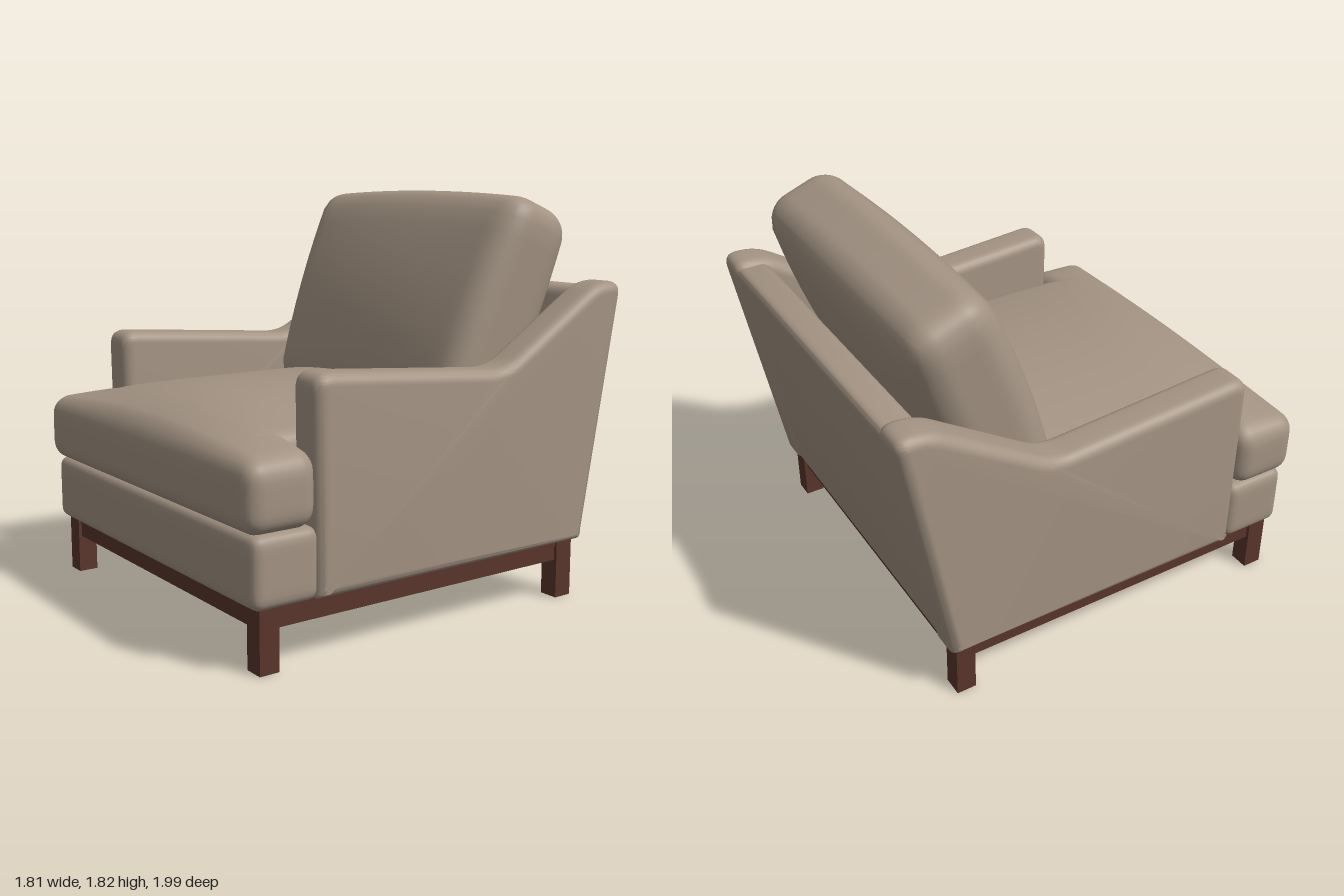
import * as THREE from 'three';
import { mergeVertices, toCreasedNormals } from 'three/addons/utils/BufferGeometryUtils.js';

const material = (name, color) => {
  const m = new THREE.MeshStandardMaterial({ color });
  m.name = name;
  return m;
};

// Round-edged box with finely divided faces, reshaped by an optional rule
function softBox(w, h, d, r, rule) {
  const g = new THREE.BoxGeometry(2, 2, 2, 32, 14, 28);
  g.deleteAttribute('uv');
  g.deleteAttribute('normal');
  const half = new THREE.Vector3(w / 2, h / 2, d / 2);
  const inner = half.clone().subScalar(r);
  const p = g.attributes.position;
  const v = new THREE.Vector3(), c = new THREE.Vector3();
  for (let i = 0; i < p.count; i++) {
    v.fromBufferAttribute(p, i);
    // crowd the divisions toward the edges
    v.set(Math.sin(v.x * Math.PI / 2), Math.sin(v.y * Math.PI / 2), Math.sin(v.z * Math.PI / 2)).multiply(half);
    c.copy(v).clamp(inner.clone().negate(), inner);
    v.sub(c).setLength(r).add(c);
    if (rule) rule(v);
    p.setXYZ(i, v.x, v.y, v.z);
  }
  const out = mergeVertices(g, 1e-5);
  out.computeVertexNormals();
  return out;
}

// Side outline from [z, y, corner cut] points
function outline(points) {
  const s = new THREE.Shape();
  const n = points.length;
  points.forEach(([z, y, cut], i) => {
    const at = new THREE.Vector2(z, y);
    const toward = ([a, b]) => new THREE.Vector2(a, b).sub(at).setLength(cut).add(at);
    const from = toward(points[(i + n - 1) % n]);
    const to = toward(points[(i + 1) % n]);
    if (i === 0) s.moveTo(from.x, from.y);
    else s.lineTo(from.x, from.y);
    s.quadraticCurveTo(at.x, at.y, to.x, to.y);
  });
  s.closePath();
  return s;
}

// Side outline extruded across x, centred, with rounded edges
function sidePanel(points, width, bevel) {
  const g = new THREE.ExtrudeGeometry(outline(points), {
    depth: width - 2 * bevel, curveSegments: 8, bevelEnabled: true,
    bevelThickness: bevel, bevelSize: bevel, bevelOffset: -bevel, bevelSegments: 8,
  });
  g.translate(0, 0, -(width / 2 - bevel));
  g.rotateY(-Math.PI / 2);
  return toCreasedNormals(g, 0.7);
}

export function createModel() {
  const model = new THREE.Group();
  model.name = 'armchair';
  const fabric = material('taupe upholstery', 0xa39383);
  const wood = material('dark red wood', 0x5a352c);
  const black = material('black dust cover', 0x111111);

  const add = (name, geometry, mat, x = 0, y = 0, z = 0) => {
    const m = new THREE.Mesh(geometry, mat);
    m.name = name;
    m.position.set(x, y, z);
    model.add(m);
    return m;
  };
  const box = (name, mat, w, h, d, x, y, z) => add(name, new THREE.BoxGeometry(w, h, d), mat, x, y, z);

  // Sloping arms
  const armGeometry = sidePanel([
    [0.67, 0.26, 0.02], [0.68, 1.155, 0.08], [-0.3, 1.08, 0.09],
    [-0.85, 1.425, 0.08], [-1.005, 1.425, 0.07], [-0.79, 0.26, 0.02],
  ], 0.185, 0.05);
  for (const [side, name] of [[1, 'leftArm'], [-1, 'rightArm']]) add(name, armGeometry, fabric, side * 0.803);

  // Leaning back panel
  add('backPanel', sidePanel([
    [-0.6, 0.27, 0.02], [-0.835, 1.4, 0.05], [-0.995, 1.4, 0.05], [-0.785, 0.27, 0.02],
  ], 1.5, 0.03), fabric);

  // Body under the seat and padded front
  box('seatBase', fabric, 1.5, 0.32, 1.42, 0, 0.425, -0.03);
  add('frontPanel', softBox(1.77, 0.3, 0.31, 0.05), fabric, 0, 0.41, 0.81);

  // Seat cushion: both pieces share one crown
  const crown = (zCentre, h) => (v) => {
    const t = Math.max(0, (v.z + zCentre - 0.4) / 0.6);
    const lift = 0.125 * (1 - (v.x / 0.905) ** 2) * (1 - t ** 3);
    v.y += lift * (v.y / h + 0.5) ** 1.5;
  };
  add('seatCushion', softBox(1.43, 0.293, 1.5, 0.06, crown(0.15, 0.293)), fabric, 0, 0.7035, 0.15);
  add('seatCushionFront', softBox(1.81, 0.295, 0.325, 0.08, (v) => {
    crown(0.8325, 0.295)(v);
    v.x *= 1 - 0.15 * Math.min(v.y, 0.15) ** 2;
  }), fabric, 0, 0.7025, 0.8325);

  // Plump tilted back cushion
  const back = add('backCushion', softBox(1.46, 1.03, 0.37, 0.12, (v) => {
    const a = 1 - (v.x / 0.73) ** 2, b = 1 - (v.y / 0.515) ** 2;
    v.z += 0.07 * (v.z / 0.185) * (0.35 + 0.65 * a) * b;
    v.y += 0.03 * a * (v.y / 0.515);
    v.x *= 1 + 0.045 * (v.y / 0.515 - 0.4);
  }), fabric, 0, 1.28, -0.497);
  back.rotation.x = -0.37;

  // Wooden legs and rails
  for (const x of [-0.807, 0.807]) {
    for (const z of [-0.713, 0.876]) box('leg', wood, 0.09, 0.262, 0.09, x, 0.131, z);
    box('sideRail', wood, 0.06, 0.088, 1.5, x, 0.218, 0.08);
  }
  for (const z of [-0.713, 0.876]) box('crossRail', wood, 1.53, 0.088, 0.06, 0, 0.218, z);
  // Lip between rails and upholstery
  box('frameTop', wood, 1.69, 0.022, 1.66, 0, 0.251, 0.0815);

  // Cover closing the underside
  box('dustCover', black, 1.56, 0.008, 1.54, 0, 0.225, 0.0815);

  return model;
}
